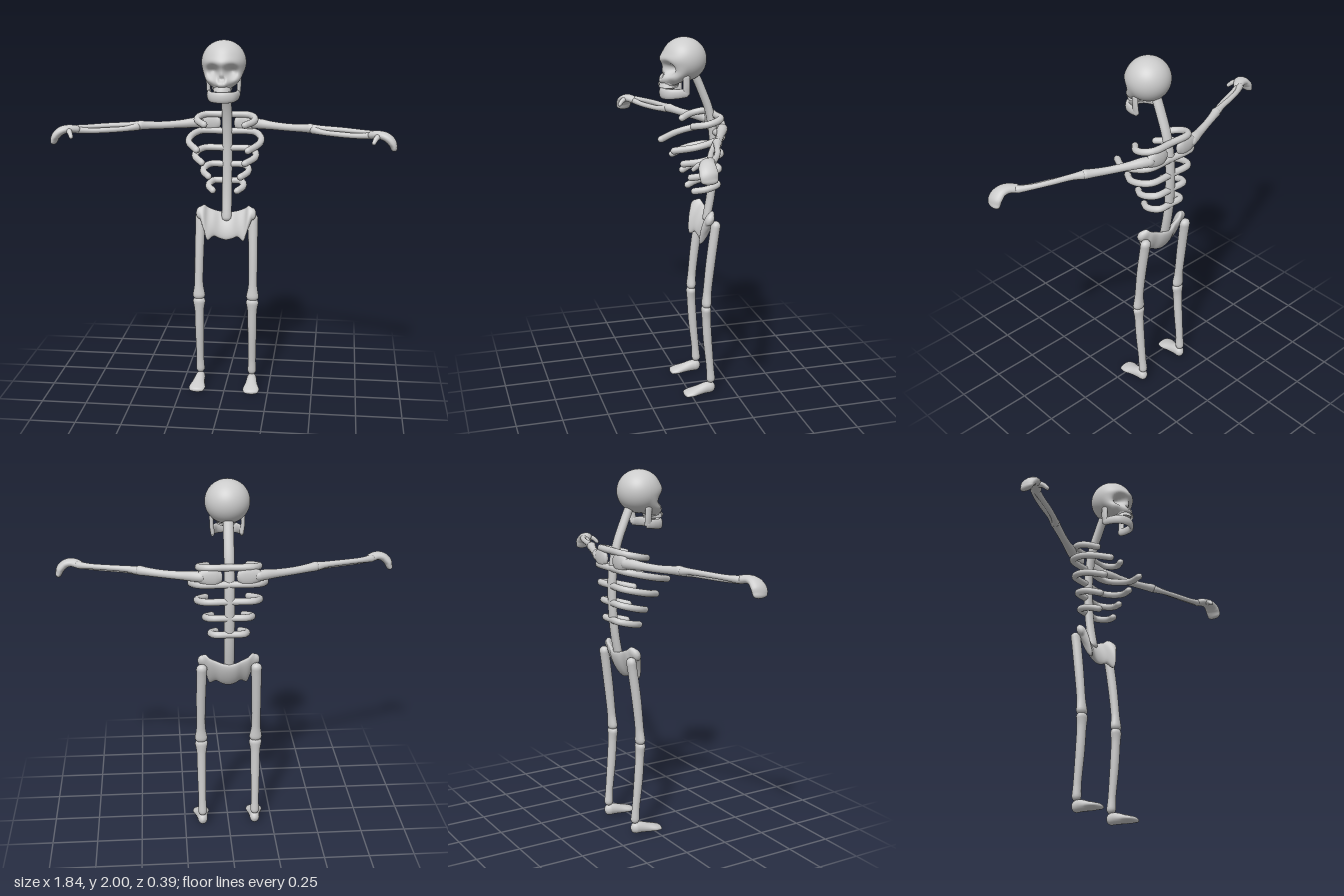
import * as THREE from 'three';

const material = new THREE.MeshStandardMaterial({ color: 0xcccccc });
const V = (x, y, z) => new THREE.Vector3(x, y, z);
const UP = V(0, 1, 0), FRONT = V(0, 0, 1);

// Smooth rounded bone through stations [x, y, z, sideRadius, upRadius].
// "up" orients the elliptical sections; "axis" fixes the section plane if given.
function bone(name, stations, up = UP, axis = null, steps = 6, sides = 16) {
  const path = new THREE.CatmullRomCurve3(stations.map((s) => V(s[0], s[1], s[2])));
  const radii = new THREE.CatmullRomCurve3(stations.map((s) => V(s[3], s[4] ?? s[3], 0)), false, 'catmullrom');
  const rings = [];
  const addRing = (t, scale, push) => {
    const dir = axis ? axis.clone() : path.getTangent(t);
    const r = radii.getPoint(t);
    const side = dir.clone().cross(up).normalize();
    const top = side.clone().cross(dir).normalize();
    const c = path.getPoint(t).addScaledVector(dir, push * Math.min(r.x, r.y));
    rings.push({ c, side: side.multiplyScalar(r.x * scale), top: top.multiplyScalar(r.y * scale) });
  };
  const n = (stations.length - 1) * steps;
  const capAngles = [0, 0.25, 0.5, 0.75].map((k) => k * Math.PI / 2);
  capAngles.forEach((a) => addRing(0, Math.sin(a), -Math.cos(a)));
  for (let i = 0; i <= n; i++) addRing(i / n, 1, 0);
  capAngles.reverse().forEach((a) => addRing(1, Math.sin(a), Math.cos(a)));

  const pos = [], index = [];
  rings.forEach(({ c, side, top }, i) => {
    for (let j = 0; j < sides; j++) {
      const a = j / sides * Math.PI * 2;
      const p = c.clone().addScaledVector(side, Math.cos(a)).addScaledVector(top, Math.sin(a));
      pos.push(p.x, p.y, p.z);
      if (i === 0) continue;
      const k = (j + 1) % sides;
      const p0 = (i - 1) * sides, p1 = i * sides;
      index.push(p0 + j, p1 + j, p0 + k, p0 + k, p1 + j, p1 + k);
    }
  });
  const geo = new THREE.BufferGeometry();
  geo.setAttribute('position', new THREE.Float32BufferAttribute(pos, 3));
  geo.setIndex(index);
  geo.computeVertexNormals();
  const mesh = new THREE.Mesh(geo, material);
  mesh.name = name;
  return mesh;
}

function group(name, ...parts) {
  const g = new THREE.Group();
  g.name = name;
  g.add(...parts);
  return g;
}

// Cranium: a sphere with the face drawn down and out, and eye and nose hollows pressed in
function cranium() {
  const geo = new THREE.SphereGeometry(1, 80, 64);
  const p = geo.attributes.position;
  const smooth = THREE.MathUtils.smoothstep;
  const bump = (x, y, cx, cy, sx, sy) => Math.exp(-(((x - cx) / sx) ** 2) - ((y - cy) / sy) ** 2);
  for (let i = 0; i < p.count; i++) {
    let x = p.getX(i) * 0.119, y = 1.884 + p.getY(i) * 0.116, z = p.getZ(i) * 0.12;
    const front = smooth(z, 0, 0.05);
    const low = front * (1 - smooth(y, 1.775, 1.87));
    y -= 0.03 * low;
    x *= 1 + 0.1 * low;
    const ax = Math.abs(x);
    z += front * (0.056 * bump(x, y, 0, 1.77, 0.058, 0.05)
      + 0.012 * bump(x, y, 0, 1.89, 0.1, 0.025)
      + 0.018 * bump(ax, y, 0.08, 1.795, 0.03, 0.025)
      - 0.055 * bump(ax, y, 0.049, 1.843, 0.028, 0.031)
      - 0.03 * bump(ax, y, 0.007, 1.803, 0.011, 0.017));
    p.setXYZ(i, x, y, z);
  }
  geo.computeVertexNormals();
  const mesh = new THREE.Mesh(geo, material);
  mesh.name = 'cranium';
  return mesh;
}

function skull() {
  const upperJaw = bone('upperJaw', [
    [0, 1.775, 0.075, 0.052, 0.05], [0, 1.76, 0.085, 0.055, 0.056], [0, 1.74, 0.085, 0.048, 0.052],
  ], FRONT, UP);
  const half = [[0.077, 1.716, 0.008], [0.074, 1.713, 0.05], [0.054, 1.71, 0.1]];
  const jawPath = [...half, [0, 1.709, 0.122], ...half.map(([x, y, z]) => [-x, y, z]).reverse()];
  const lowerJaw = bone('lowerJaw', jawPath.map(([x, y, z]) => [x, y, z, 0.012, 0.023 + z * 0.05]));
  const rami = [1, -1].map((s) => bone('jawHinge', [
    [s * 0.077, 1.712, 0.009, 0.011, 0.02], [s * 0.082, 1.75, 0.008, 0.011, 0.019],
    [s * 0.083, 1.8, 0.01, 0.011, 0.02],
  ], FRONT));
  return group('skull', cranium(), upperJaw, lowerJaw, ...rami);
}

// Rib pairs: [height at the spine, drop to the tip, half width, z of the tip]
function ribs() {
  const rows = [
    [1.578, 0.035, 0.155, -0.02], [1.485, 0.06, 0.192, 0.092], [1.39, 0.045, 0.163, 0.035],
    [1.298, 0.04, 0.122, -0.015], [1.205, 0.03, 0.094, -0.04],
  ];
  const meshes = [];
  for (const [y, drop, w, zTip] of rows) {
    for (const s of [1, -1]) {
      const at = (x, k) => [s * x * w, y - drop * k, -0.17 + (zTip + 0.17) * k, 0.019];
      meshes.push(bone('rib', [at(0, 0), at(0.76, 0.01), at(0.99, 0.27), at(1, 0.62), at(0.72, 1)], UP, null, 6, 12));
    }
  }
  return group('ribCage', ...meshes);
}

function arm(s) {
  const m = (list) => list.map(([x, ...rest]) => [s * x, ...rest]);
  return group(s > 0 ? 'leftArm' : 'rightArm',
    bone('shoulderBlade', m([
      [0.05, 1.53, -0.177, 0.014, 0.032], [0.075, 1.53, -0.179, 0.017, 0.047],
      [0.115, 1.53, -0.177, 0.019, 0.047], [0.15, 1.53, -0.17, 0.02, 0.034],
    ])),
    bone('upperArm', m([
      [0.15, 1.53, -0.168, 0.028], [0.19, 1.53, -0.152, 0.028], [0.25, 1.527, -0.128, 0.023],
      [0.35, 1.525, -0.087, 0.021], [0.43, 1.528, -0.055, 0.023], [0.465, 1.53, -0.04, 0.026],
    ])),
    bone('rearForearmBone', m([
      [0.48, 1.53, -0.036, 0.023], [0.53, 1.533, -0.02, 0.017], [0.64, 1.533, 0.012, 0.015],
      [0.73, 1.53, 0.047, 0.015], [0.79, 1.526, 0.083, 0.02],
    ])),
    bone('frontForearmBone', m([
      [0.48, 1.524, -0.028, 0.022], [0.53, 1.517, 0.004, 0.015], [0.63, 1.514, 0.045, 0.015],
      [0.71, 1.514, 0.072, 0.015], [0.785, 1.52, 0.095, 0.018],
    ])),
    bone('hand', m([
      [0.79, 1.525, 0.097, 0.028, 0.022], [0.825, 1.53, 0.118, 0.034, 0.022], [0.86, 1.522, 0.129, 0.041, 0.023],
      [0.891, 1.495, 0.132, 0.046, 0.023], [0.903, 1.465, 0.132, 0.042, 0.018],
    ])),
    bone('thumb', m([
      [0.825, 1.526, 0.13, 0.017], [0.81, 1.518, 0.157, 0.014], [0.797, 1.497, 0.178, 0.011],
    ])));
}

function leg(s) {
  const m = (list) => list.map(([x, ...rest]) => [s * x, ...rest]);
  return group(s > 0 ? 'leftLeg' : 'rightLeg',
    bone('thigh', m([
      [0.148, 0.995, -0.137, 0.03, 0.026], [0.149, 0.95, -0.13, 0.028, 0.026], [0.153, 0.79, -0.108, 0.026],
      [0.154, 0.62, -0.09, 0.025, 0.024], [0.153, 0.55, -0.085, 0.036, 0.027],
    ]), FRONT),
    bone('shin', m([
      [0.152, 0.515, -0.084, 0.036, 0.027], [0.152, 0.46, -0.086, 0.027, 0.025], [0.152, 0.33, -0.094, 0.025],
      [0.151, 0.16, -0.11, 0.022], [0.15, 0.09, -0.115, 0.025],
    ]), FRONT),
    bone('foot', m([
      [0.15, 0.038, -0.112, 0.028, 0.033], [0.151, 0.037, -0.085, 0.03, 0.032], [0.153, 0.028, -0.04, 0.037, 0.026],
      [0.155, 0.021, 0, 0.047, 0.02], [0.156, 0.016, 0.029, 0.043, 0.015],
    ])));
}

function pelvis() {
  // Half profile from the hip wing to the centre, mirrored
  const half = [
    [0.145, 1.03, -0.104, 0.024, 0.036], [0.125, 1.008, -0.099, 0.026, 0.07], [0.102, 0.968, -0.1, 0.024, 0.094],
    [0.068, 0.97, -0.112, 0.022, 0.076], [0.036, 0.958, -0.122, 0.022, 0.078],
  ];
  const right = half.map(([x, ...rest]) => [-x, ...rest]);
  return bone('pelvis', [...right, [0, 0.951, -0.124, 0.022, 0.08], ...half.reverse()],
    V(0, 1, -0.45), V(1, 0, 0), 6, 24);
}

export function createModel() {
  const spine = bone('spine', [
    [0, 1.8, -0.06], [0, 1.72, -0.095], [0, 1.6, -0.14], [0, 1.45, -0.165],
    [0, 1.28, -0.166], [0, 1.13, -0.153], [0, 1.0, -0.13],
  ].map((p) => [...p, 0.028, 0.023]), FRONT);
  const parts = [skull(), spine, ribs(), pelvis()];
  for (const s of [1, -1]) parts.push(arm(s), leg(s));
  return group('skeleton', ...parts);
}
